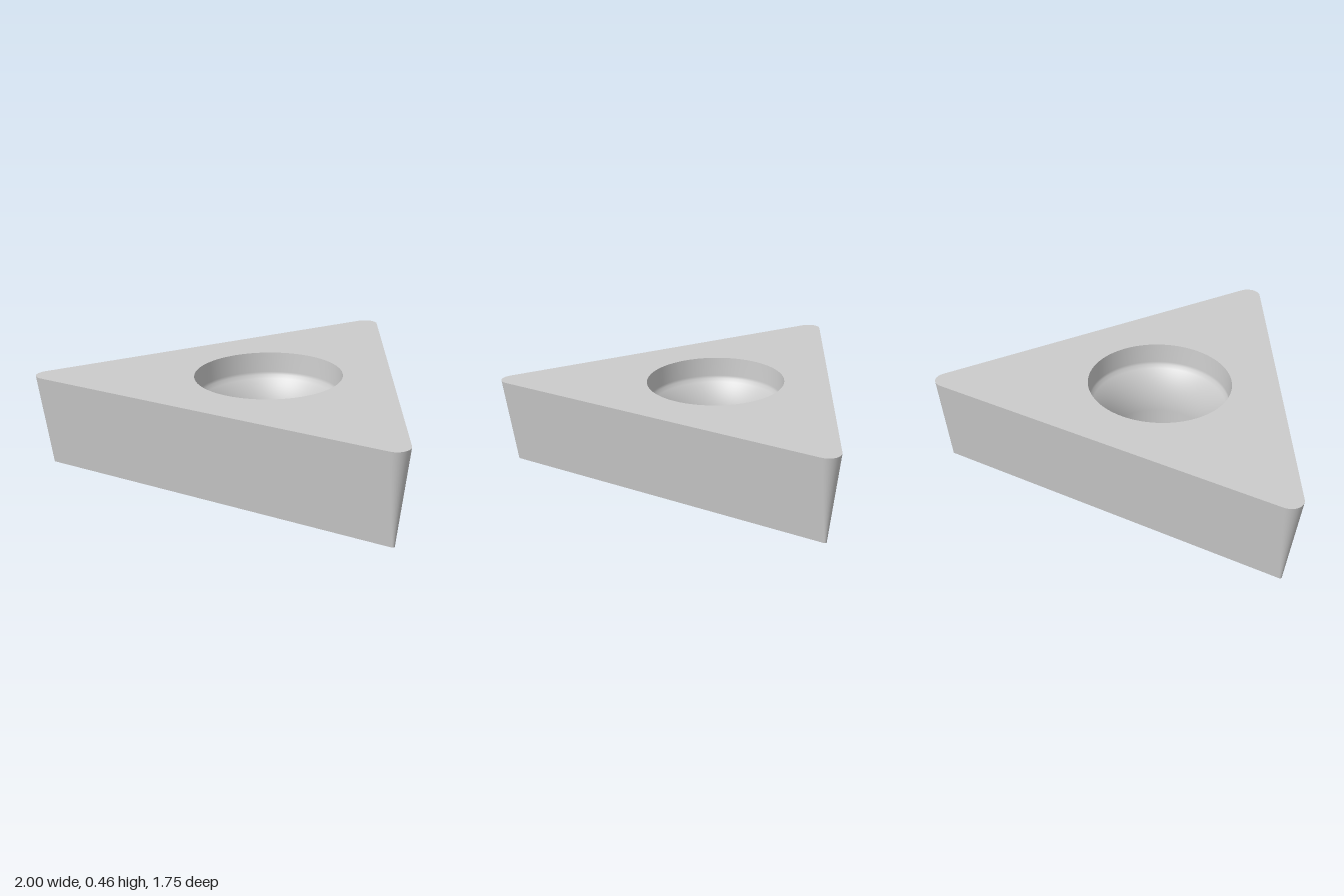
import * as THREE from 'three';

const HEIGHT = 0.46, CENTRE_Z = 0.27;
const CORNER_DIST = 1.08;              // centre to each corner's arc centre
const TOP_R = 0.065, BOTTOM_R = 0.009; // corner radii; the difference gives the wall relief
const RIM_R = 0.366, BORE_R = 0.27;
const ARC_STEPS = 12, ROUND = 96;

// Rounded triangle, one arc per corner; a is the outward direction at each point
function outline(r) {
  const points = [];
  for (let k = 0; k < 3; k++) {
    const mid = Math.PI / 6 + k * Math.PI * 2 / 3;
    for (let i = 0; i <= ARC_STEPS; i++) {
      const a = mid + (i / ARC_STEPS - 0.5) * Math.PI * 2 / 3;
      points.push({
        x: CORNER_DIST * Math.cos(mid) + r * Math.cos(a),
        z: CORNER_DIST * Math.sin(mid) + r * Math.sin(a),
        a,
      });
    }
  }
  return points;
}

// Tapered side walls lofted between the two outlines
function wallGeometry() {
  const top = outline(TOP_R), bottom = outline(BOTTOM_R), n = top.length;
  const relief = Math.atan2(TOP_R - BOTTOM_R, HEIGHT);
  const pos = [], nor = [], idx = [];
  for (let i = 0; i < n; i++) {
    const { a } = top[i];
    pos.push(bottom[i].x, 0, bottom[i].z, top[i].x, HEIGHT, top[i].z);
    for (let j = 0; j < 2; j++) {
      nor.push(Math.cos(a) * Math.cos(relief), -Math.sin(relief), Math.sin(a) * Math.cos(relief));
    }
    const b0 = 2 * i, b1 = 2 * ((i + 1) % n);
    idx.push(b0, b0 + 1, b1 + 1, b0, b1 + 1, b1);
  }
  const g = new THREE.BufferGeometry();
  g.setAttribute('position', new THREE.Float32BufferAttribute(pos, 3));
  g.setAttribute('normal', new THREE.Float32BufferAttribute(nor, 3));
  g.setIndex(idx);
  return g;
}

// Flat face with a round hole; side is 1 for the top, -1 for the bottom
function faceGeometry(r, holeR, side) {
  const shape = new THREE.Shape(outline(r).map(p => new THREE.Vector2(p.x, -side * p.z)));
  shape.holes.push(new THREE.Path().absarc(0, 0, holeR, 0, Math.PI * 2, true));
  return new THREE.ShapeGeometry(shape, ROUND / 2).rotateX(-side * Math.PI / 2);
}

// Screw hole: short rim wall, convex seat, then a straight bore
function holeGeometry() {
  const sweep = 0.7, seatY = 0.1;
  const seatR = (RIM_R - 0.008 - BORE_R) / (1 - Math.cos(sweep));
  const profile = [
    new THREE.Vector2(RIM_R, HEIGHT),
    new THREE.Vector2(RIM_R - 0.006, seatY + seatR * Math.sin(sweep) + 0.015),
  ];
  for (let i = 0; i <= 12; i++) {
    const t = sweep * (1 - i / 12);
    profile.push(new THREE.Vector2(BORE_R + seatR * (1 - Math.cos(t)), seatY + seatR * Math.sin(t)));
  }
  profile.push(new THREE.Vector2(BORE_R, 0));
  return new THREE.LatheGeometry(profile, ROUND);
}

export function createModel() {
  const group = new THREE.Group();
  group.name = 'triangularInsert';
  const material = new THREE.MeshStandardMaterial({ color: 0xcccccc });
  const add = (name, geometry, y = 0) => {
    const mesh = new THREE.Mesh(geometry, material);
    mesh.name = name;
    mesh.position.set(0, y, CENTRE_Z);
    group.add(mesh);
  };
  add('sideWalls', wallGeometry());
  add('topFace', faceGeometry(TOP_R, RIM_R, 1), HEIGHT);
  add('bottomFace', faceGeometry(BOTTOM_R, BORE_R, -1));
  add('screwHole', holeGeometry());
  return group;
}
